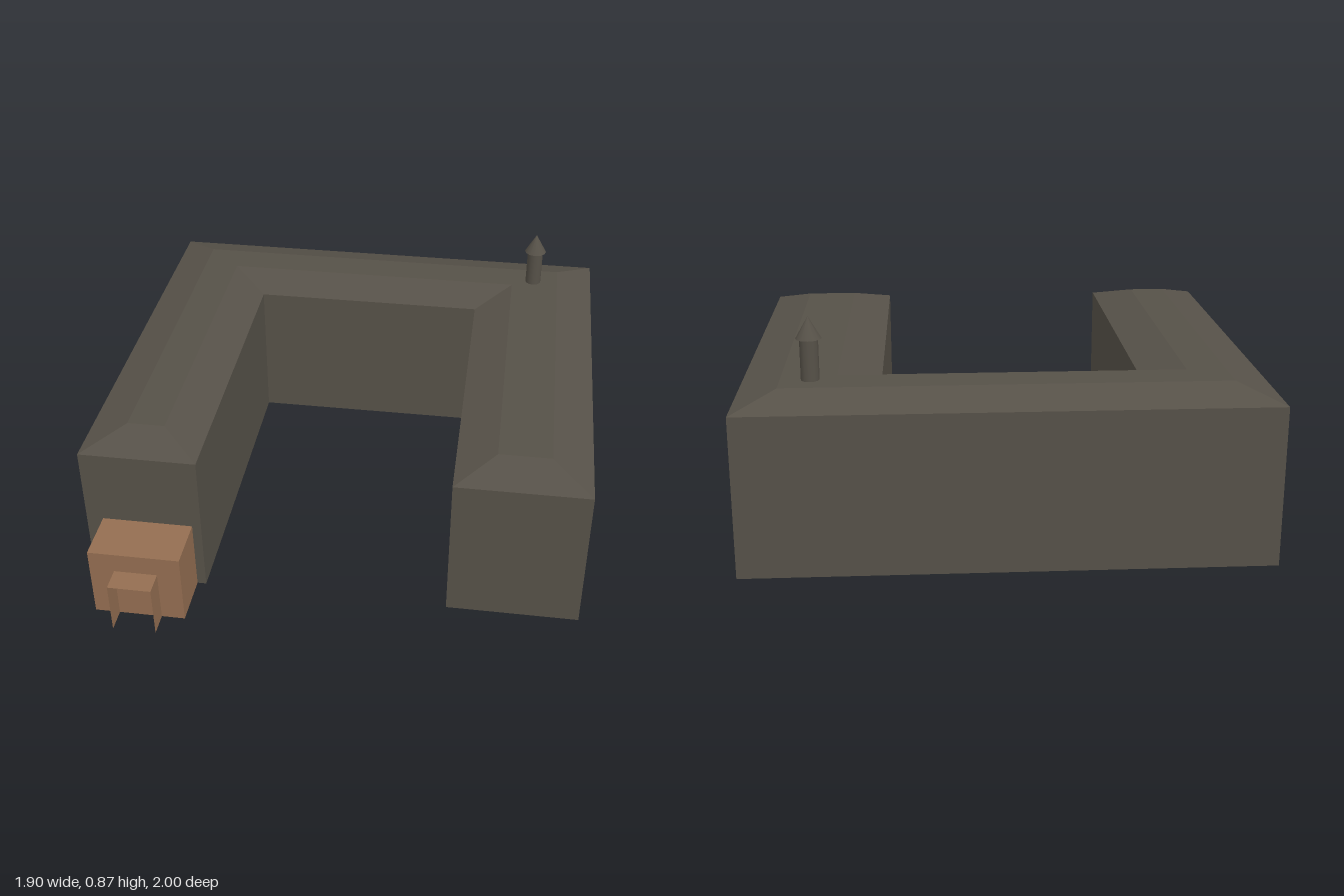
import * as THREE from 'three';

const stone = new THREE.MeshStandardMaterial({ color: 0x565148 });
stone.name = 'dark stone';
const timber = new THREE.MeshStandardMaterial({ color: 0x946e51, side: THREE.DoubleSide });
timber.name = 'warm timber';

const EAVES = 0.59, TOP = 0.64, INSET = 0.153;

// U-shaped footprint as [x, z], counter-clockwise from above
const footprint = [
  [-0.95, 0.71], [-0.5, 0.71], [-0.5, -0.55], [0.445, -0.55],
  [0.445, 0.71], [0.95, 0.71], [0.95, -1], [-0.95, -1],
];

// Move every corner inward along both of its edges' normals
function insetRing(ring, d) {
  const n = ring.length;
  const inward = (a, b) => {
    const dx = b[0] - a[0], dz = b[1] - a[1], l = Math.hypot(dx, dz);
    return [dz / l, -dx / l];
  };
  return ring.map((p, i) => {
    const u = inward(ring[(i + n - 1) % n], p), v = inward(p, ring[(i + 1) % n]);
    return [p[0] + d * (u[0] + v[0]), p[1] + d * (u[1] + v[1])];
  });
}

// Flat quads joining a lower ring to an upper ring
function band(low, y0, high, y1) {
  const pos = [];
  low.forEach((p, i) => {
    const j = (i + 1) % low.length;
    const a = [low[i][0], y0, low[i][1]], b = [low[j][0], y0, low[j][1]];
    const c = [high[j][0], y1, high[j][1]], d = [high[i][0], y1, high[i][1]];
    pos.push(...a, ...b, ...c, ...a, ...c, ...d);
  });
  const g = new THREE.BufferGeometry();
  g.setAttribute('position', new THREE.Float32BufferAttribute(pos, 3));
  g.computeVertexNormals();
  return g;
}

// Horizontal cap facing up (sign 1) or down (sign -1)
function cap(ring, y, sign) {
  const shape = new THREE.Shape(ring.map(([x, z]) => new THREE.Vector2(x, -sign * z)));
  return new THREE.ShapeGeometry(shape).rotateX(-sign * Math.PI / 2).translate(0, y, 0);
}

export function createModel() {
  const model = new THREE.Group();
  model.name = 'courtyardBuilding';
  const add = (name, geometry, material, x = 0, y = 0, z = 0) => {
    const mesh = new THREE.Mesh(geometry, material);
    mesh.name = name;
    mesh.position.set(x, y, z);
    model.add(mesh);
    return mesh;
  };

  // Main block with a shallow hipped roof
  const roofRing = insetRing(footprint, INSET);
  add('walls', band(footprint, 0, footprint, EAVES), stone);
  add('roofSlopes', band(footprint, EAVES, roofRing, TOP), stone);
  add('roofTop', cap(roofRing, TOP, 1), stone);
  add('floor', cap(footprint, 0, -1), stone);

  // Chimney with a conical cowl
  add('chimneyPipe', new THREE.CylinderGeometry(0.033, 0.033, 0.16, 12), stone, 0.69, 0.715, -0.75);
  add('chimneyCowl', new THREE.ConeGeometry(0.046, 0.08, 12), stone, 0.69, 0.83, -0.75);

  // Entrance porch at the end of the right wing
  add('porch', new THREE.BoxGeometry(0.35, 0.29, 0.2), timber, -0.71, 0.145, 0.81);

  // Open door surround: two thin cheeks and a lid
  for (const [name, x, turn] of [['doorCheekRight', -0.79, -1], ['doorCheekLeft', -0.625, 1]]) {
    add(name, new THREE.PlaneGeometry(0.09, 0.21).rotateY(turn * Math.PI / 2), timber, x, 0.105, 0.955);
  }
  add('doorCanopy', new THREE.PlaneGeometry(0.165, 0.09).rotateX(-Math.PI / 2), timber, -0.7075, 0.21, 0.955);

  return model;
}
